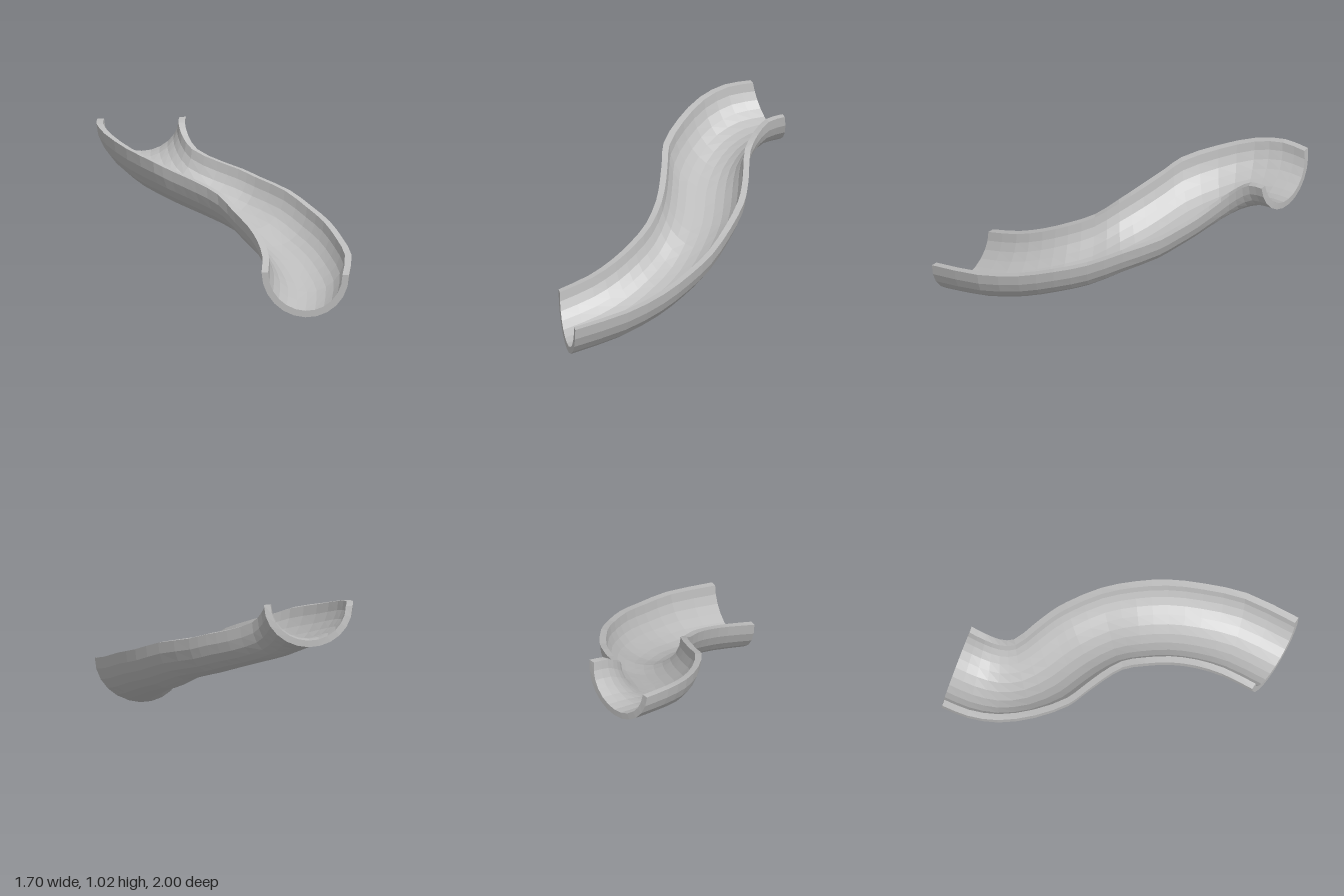
import * as THREE from 'three';

// Outer rim points of the half-pipe, paired section by section from top to bottom: [x, y, z]
const RIM_A = [
  [-0.84, 1.01, -0.965], [-0.85, 1.01, -0.78], [-0.80, 0.98, -0.58], [-0.66, 0.92, -0.36],
  [-0.48, 0.86, -0.18], [-0.36, 0.81, -0.12], [-0.20, 0.75, -0.04], [-0.05, 0.68, 0.05],
  [0.06, 0.58, 0.17], [0.15, 0.51, 0.32], [0.21, 0.44, 0.48], [0.24, 0.37, 0.66], [0.23, 0.30, 0.88],
];
const RIM_B = [
  [-0.24, 1.02, -0.97], [-0.25, 1.00, -0.86], [-0.23, 0.93, -0.77], [-0.17, 0.85, -0.69],
  [0.00, 0.78, -0.61], [0.14, 0.74, -0.54], [0.25, 0.70, -0.47], [0.45, 0.64, -0.29],
  [0.60, 0.56, -0.10], [0.71, 0.50, 0.10], [0.79, 0.43, 0.33], [0.845, 0.37, 0.62], [0.82, 0.30, 1.00],
];
const WALL = 0.045;   // wall thickness
const ARC = 12;       // facets around the half pipe
const ROWS = 24;      // segments along the run

const rimCurve = (pts) => new THREE.CatmullRomCurve3(
  pts.map((p) => new THREE.Vector3(...p)), false, 'centripetal');

// Closed U-shaped ring: outer arc from rim A to rim B, then the inner arc back
function crossSection(a, b, t) {
  const mid = a.clone().add(b).multiplyScalar(0.5);
  const half = b.clone().sub(a).multiplyScalar(0.5);
  const depth = 0.30 - 0.02 * Math.max(0, 1 - t * 3);
  const lean = -0.034 * Math.max(0, 1 - t * 6);   // the top end tips back a little
  const inner = 1 - WALL / half.length();
  const point = (k, scale, d) => {
    const angle = (Math.PI * k) / ARC;
    const p = mid.clone().addScaledVector(half, -Math.cos(angle) * scale);
    p.y -= Math.sin(angle) * d;
    p.z += Math.sin(angle) * lean;
    return p;
  };
  const ring = [];
  for (let k = 0; k <= ARC; k++) ring.push(point(k, 1, depth));
  for (let k = ARC; k >= 0; k--) ring.push(point(k, inner, depth - WALL));
  return ring;
}

function troughGeometry() {
  const curveA = rimCurve(RIM_A);
  const curveB = rimCurve(RIM_B);
  const size = 2 * (ARC + 1);
  const positions = [];
  const index = [];
  const quad = (a, b, c, d) => index.push(a, b, c, a, c, d);

  for (let i = 0; i <= ROWS; i++) {
    const t = i / ROWS;
    for (const p of crossSection(curveA.getPoint(t), curveB.getPoint(t), t)) positions.push(p.x, p.y, p.z);
  }
  // Walls and rims
  for (let i = 0; i < ROWS; i++) {
    for (let j = 0; j < size; j++) {
      const n = (j + 1) % size;
      quad(i * size + j, i * size + n, (i + 1) * size + n, (i + 1) * size + j);
    }
  }
  // Cut ends
  const last = ROWS * size;
  for (let k = 0; k < ARC; k++) {
    const m = size - 1 - k;
    quad(last + k, last + k + 1, last + m - 1, last + m);
    quad(m, m - 1, k + 1, k);
  }
  const geometry = new THREE.BufferGeometry();
  geometry.setAttribute('position', new THREE.Float32BufferAttribute(positions, 3));
  geometry.setIndex(index);
  const flat = geometry.toNonIndexed();
  flat.computeVertexNormals();
  return flat;
}

export function createModel() {
  const group = new THREE.Group();
  group.name = 'slide';
  const grey = new THREE.MeshStandardMaterial({ color: 0xbcbcbc });
  grey.name = 'light grey';
  grey.flatShading = true;

  // Curved half-pipe chute
  const chute = new THREE.Mesh(troughGeometry(), grey);
  chute.name = 'chute';
  group.add(chute);
  return group;
}
